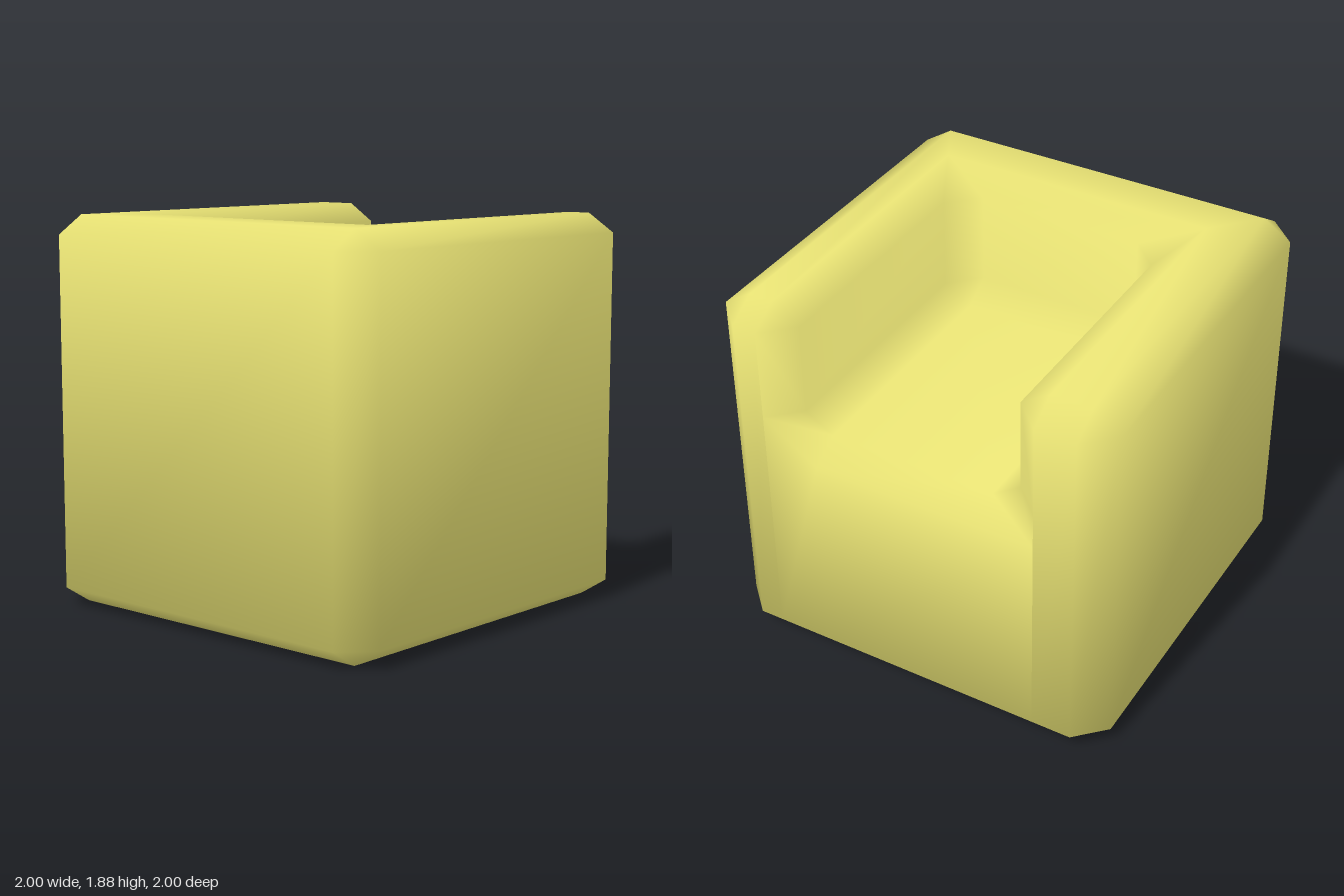
import * as THREE from 'three';

// Heights: bottom bevel, seat, arm top
const BEVEL = 0.09, SEAT = 1.24, TOP = 1.88;
const E = 0.86; // where the flat part of an outer face ends

// One column of the skin: up the outside, over the rim, down the inside to the seat
function column([ox, oz], [tx, tz], [wx, wz], [fx, fz]) {
  const cx = Math.sign(ox) * E, cz = Math.sign(oz) * E;
  return [
    [cx, 0, cz], [ox, BEVEL, oz], [ox, TOP - BEVEL, oz], [cx, TOP, cz],
    [tx, TOP, tz], [wx, TOP - BEVEL, wz], [wx, SEAT + BEVEL, wz], [fx, SEAT, fz],
  ];
}

// Columns of one arm from the open end round to the back.
// w: inner wall, t: inner edge of the arm top, f: edge of the flat seat, lip: seat corner at the open end
function armColumns(s, w, t, f, lip) {
  const floor = [f, SEAT, -E], low = [w, SEAT + BEVEL, -E], high = [w, TOP - BEVEL, -E], rim = [t, TOP, -E];
  const foot = [t, 0, -E], base = [t, BEVEL, -1], end = [t, TOP - BEVEL, -1];
  return [
    [[lip, 0, -E], [lip, BEVEL, -1], [lip, SEAT - BEVEL, -1], floor, floor, floor, floor, floor],
    [foot, base, [t, SEAT + BEVEL, -1], low, low, low, low, floor],
    [foot, base, end, high, high, high, low, floor],
    [foot, base, end, rim, rim, high, low, floor],
    column([s * E, -1], [t, -E], [w, -E], [f, -E]),
    column([s, -E], [t, -E], [w, -E], [f, -E]),
    column([s, E], [t, 0.64], [w, 0.36], [f, 0.36]),
    column([s * E, 1], [t, 0.64], [f, 0.5], [f, 0.36]),
  ];
}

// Welded skin with evenly averaged normals for soft upholstery
function buildSkin(columns) {
  const positions = [], normals = [], index = [], lookup = new Map();
  const id = (p) => {
    const key = p.map((v) => v.toFixed(3)).join();
    if (!lookup.has(key)) {
      lookup.set(key, positions.length / 3);
      positions.push(...p);
      normals.push(0, 0, 0);
    }
    return lookup.get(key);
  };
  const face = (points) => {
    const total = new THREE.Vector3(), ids = points.map(id);
    for (let i = 1; i < points.length - 1; i++) {
      const [a, b, c] = [points[0], points[i], points[i + 1]].map((p) => new THREE.Vector3(...p));
      const n = b.sub(a).cross(c.sub(a));
      if (n.length() < 1e-6) continue;
      total.add(n);
      index.push(ids[0], ids[i], ids[i + 1]);
    }
    if (total.length() < 1e-6) return;
    total.normalize();
    for (const k of new Set(ids)) total.toArray().forEach((v, j) => { normals[k * 3 + j] += v; });
  };

  const n = columns.length, rows = columns[0].length;
  for (let i = 0; i < n; i++) {
    const a = columns[i], b = columns[(i + 1) % n];
    for (let r = 0; r < rows - 1; r++) face([a[r], b[r], b[r + 1], a[r + 1]]);
  }
  face(columns.map((c) => c[rows - 1]));       // seat
  face(columns.map((c) => c[0]).reverse());    // underside

  const geometry = new THREE.BufferGeometry();
  geometry.setAttribute('position', new THREE.Float32BufferAttribute(positions, 3));
  geometry.setAttribute('normal', new THREE.Float32BufferAttribute(normals, 3));
  geometry.setIndex(index);
  geometry.normalizeNormals();
  return geometry;
}

export function createModel() {
  const group = new THREE.Group();
  group.name = 'armchair';
  const columns = [
    ...armColumns(-1, -0.52, -0.66, -0.38, -0.66),
    ...armColumns(1, 0.6, 0.74, 0.46, 0.46).reverse(),
  ];
  const material = new THREE.MeshStandardMaterial({ color: 0xe8e274 });
  const body = new THREE.Mesh(buildSkin(columns), material);
  body.name = 'upholsteredBody';
  group.add(body);
  return group;
}
